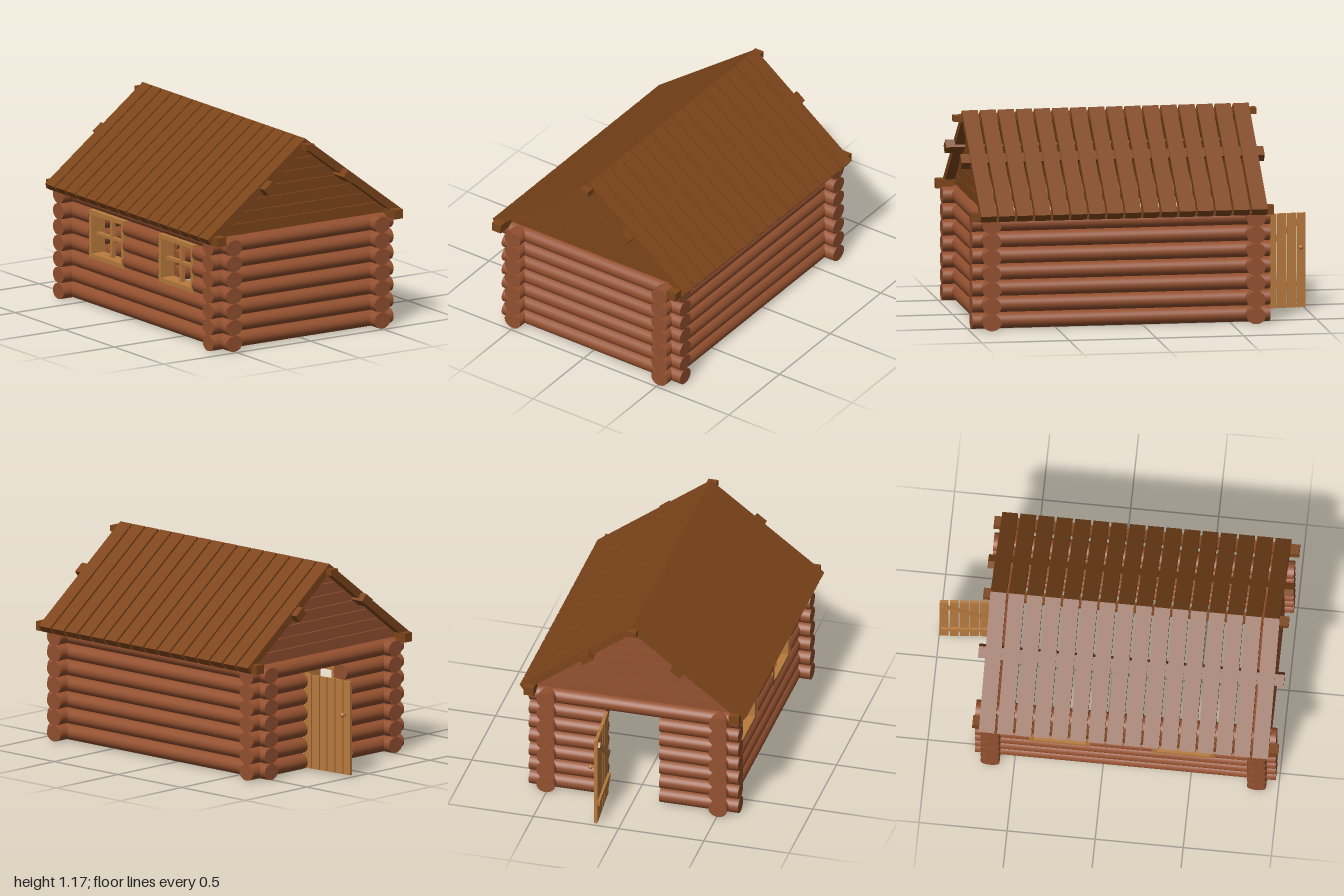
import * as THREE from 'three';

const mat = (color) => new THREE.MeshStandardMaterial({ color });
const logMat = mat(0x93502f);
const roofMat = mat(0x7d451a);
const doorMat = mat(0xb87a3e);

const STEP = 0.0926, RX = 0.054, SIDE_X = 0.505, FRONT_Z = 0.877, BACK_Z = -0.636;
const PEAK = 1.167, SLOPE = 0.755;

function add(parent, name, geometry, material, x = 0, y = 0, z = 0) {
  const mesh = new THREE.Mesh(geometry, material);
  mesh.name = name;
  mesh.position.set(x, y, z);
  parent.add(mesh);
  return mesh;
}

function box(parent, name, material, w, h, d, x, y, z) {
  return add(parent, name, new THREE.BoxGeometry(w, h, d), material, x, y, z);
}

// Slightly flattened log between a and b along one axis, in a given row
function addLog(parent, axis, a, b, row, offset) {
  const g = new THREE.CylinderGeometry(1, 1, b - a, 28);
  if (axis === 'x') g.rotateZ(Math.PI / 2).scale(1, STEP / 2, RX);
  else g.rotateX(Math.PI / 2).scale(RX, STEP / 2, 1);
  const y = (row + 0.5) * STEP, mid = (a + b) / 2;
  if (axis === 'x') add(parent, 'log', g, logMat, mid, y, offset);
  else add(parent, 'log', g, logMat, offset, y, mid);
}

// Wall of seven log rows; spans(row) lists the log pieces in that row
function logWall(name, axis, offset, spans) {
  const wall = new THREE.Group();
  wall.name = name;
  for (let row = 0; row < 7; row++)
    for (const [a, b] of spans(row)) addLog(wall, axis, a, b, row, offset);
  return wall;
}

function extrude(points, depth) {
  const shape = new THREE.Shape(points.map(([x, y]) => new THREE.Vector2(x, y)));
  return new THREE.ExtrudeGeometry(shape, { depth, bevelEnabled: false });
}

// Gable of horizontal boards trimmed to the roof slope
function gable(name, material, z) {
  const group = new THREE.Group();
  group.name = name;
  const half = (y) => Math.max(0.002, (PEAK - 0.05 - y) / SLOPE);
  for (let i = 0; i < 7; i++) {
    const y0 = 0.652 + i * 0.0657, y1 = y0 + 0.062;
    const a = half(y0), b = half(y1);
    add(group, 'gableBoard', extrude([[-a, y0], [a, y0], [b, y1], [-b, y1]], 0.03), material, 0, 0, z - 0.015);
  }
  return group;
}

function makeRoof() {
  const roof = new THREE.Group();
  roof.name = 'roof';
  // Planks on both slopes, mitred at the ridge
  for (const s of [1, -1]) {
    let profile = [[0, PEAK], [0, PEAK - 0.056], [0.638, 0.629], [0.665, 0.665]];
    if (s < 0) profile = profile.map(([x, y]) => [-x, y]).reverse();
    const g = extrude(profile, 0.09);
    for (let i = 0; i < 16; i++) add(roof, 'roofPlank', g, roofMat, 0, 0, -0.695 + i * 0.1035);
  }
  // Ridge beam, purlins and eave beams
  const len = 1.735, mid = 0.1325;
  box(roof, 'ridgeBeam', roofMat, 0.058, 0.034, len, 0, 1.124, mid);
  for (const s of [1, -1]) {
    box(roof, 'purlin', roofMat, 0.07, 0.05, len, s * 0.27, 0.919, mid).rotation.z = -s * Math.atan(SLOPE);
    box(roof, 'eaveBeam', roofMat, 0.06, 0.052, len, s * 0.602, 0.654, mid);
  }
  return roof;
}

// Framed window with a cross of glazing bars, set in the x = -SIDE_X wall
function makeWindow(z0, z1) {
  const win = new THREE.Group();
  win.name = 'window';
  const y0 = 3 * STEP, y1 = 6 * STEP, h = y1 - y0, w = z1 - z0, t = 0.026, depth = 0.09;
  const ym = (y0 + y1) / 2, zm = (z0 + z1) / 2;
  for (const s of [1, -1]) {
    box(win, 'windowJamb', doorMat, depth, h, t, -SIDE_X, ym, zm + s * (w - t) / 2);
    box(win, 'windowRail', doorMat, depth, t, w - 2 * t, -SIDE_X, ym + s * (h - t) / 2, zm);
  }
  box(win, 'verticalBar', doorMat, 0.025, h - 2 * t, 0.018, -SIDE_X, ym, zm);
  box(win, 'horizontalBar', doorMat, 0.024, 0.018, w - 2 * t, -SIDE_X, ym, zm);
  return win;
}

// Open plank door, hinged at its local origin and reaching towards -z
function makeDoor() {
  const door = new THREE.Group();
  door.name = 'door';
  for (let i = 0; i < 6; i++)
    box(door, 'doorPlank', doorMat, 0.018, 0.54, 0.05, 0, 0.282, -0.025 - i * 0.057);
  box(door, 'doorBatten', doorMat, 0.014, 0.03, 0.32, -0.016, 0.14, -0.168);
  box(door, 'doorBrace', doorMat, 0.014, 0.03, 0.38, -0.016, 0.405, -0.168).rotation.x = Math.atan(0.76);
  const stem = new THREE.CylinderGeometry(0.006, 0.006, 0.03, 12).rotateZ(Math.PI / 2);
  add(door, 'knobStem', stem, doorMat, 0.018, 0.36, -0.3);
  add(door, 'doorKnob', new THREE.SphereGeometry(0.013, 16, 12), doorMat, 0.036, 0.36, -0.3);
  door.position.set(0.163, 0, -0.663);
  door.rotation.y = 0.085;
  return door;
}

export function createModel() {
  const cabin = new THREE.Group();
  cabin.name = 'logCabin';
  const zEnds = [-0.727, 0.98], xEnd = 0.614;
  const windows = [[-0.42, -0.07], [0.28, 0.63]];

  // Walls, with openings for the door and windows
  cabin.add(logWall('frontWall', 'x', FRONT_Z, () => [[-xEnd, xEnd]]));
  cabin.add(logWall('backWall', 'x', BACK_Z, (row) =>
    row < 6 ? [[-xEnd, -0.15], [0.17, xEnd]] : [[-xEnd, xEnd]]));
  cabin.add(logWall('leftWall', 'z', SIDE_X, () => [zEnds]));
  cabin.add(logWall('rightWall', 'z', -SIDE_X, (row) =>
    row >= 3 && row < 6
      ? [[zEnds[0], windows[0][0]], [windows[0][1], windows[1][0]], [windows[1][1], zEnds[1]]]
      : [zEnds]));

  for (const [a, b] of windows) cabin.add(makeWindow(a, b));
  cabin.add(makeDoor());
  cabin.add(gable('frontGable', roofMat, FRONT_Z));
  cabin.add(gable('backGable', logMat, BACK_Z));
  cabin.add(makeRoof());
  return cabin;
}
